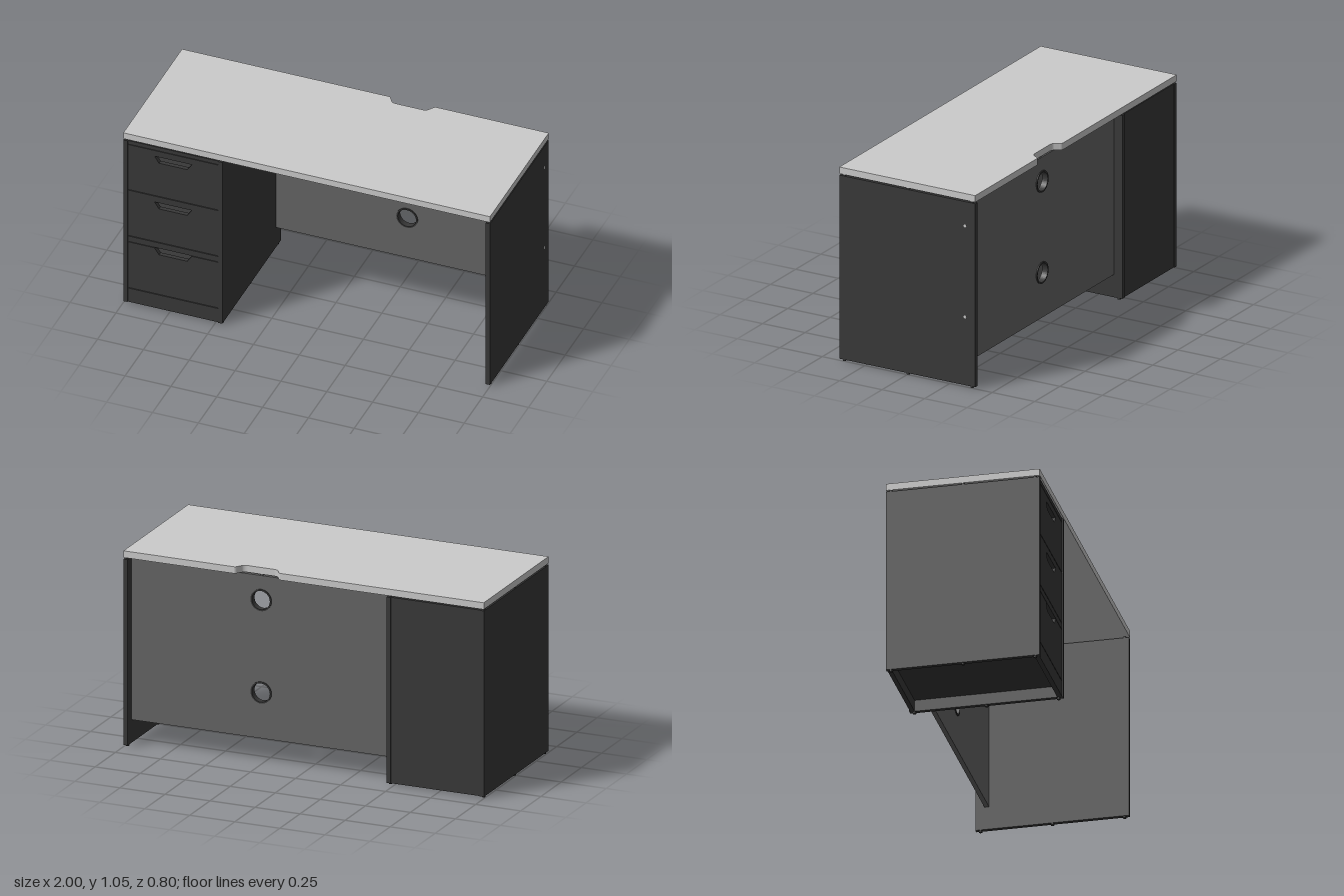
import * as THREE from 'three';

export function createModel() {
  const desk = new THREE.Group();
  const light = new THREE.MeshStandardMaterial({ color: 0xcccccc });
  const mid = new THREE.MeshStandardMaterial({ color: 0x656565 });
  const dark = new THREE.MeshStandardMaterial({ color: 0x383838 });

  const add = (name, geometry, material, parent = desk) => {
    const mesh = new THREE.Mesh(geometry, material);
    mesh.name = name;
    parent.add(mesh);
    return mesh;
  };
  // Box given by its lower and upper limits on each axis
  const box = (name, [x0, x1], [y0, y1], [z0, z1], material = dark, parent = desk) => {
    const mesh = add(name, new THREE.BoxGeometry(x1 - x0, y1 - y0, z1 - z0), material, parent);
    mesh.position.set((x0 + x1) / 2, (y0 + y1) / 2, (z0 + z1) / 2);
    return mesh;
  };
  const peg = (name, r, y0, y1, x, z) =>
    add(name, new THREE.CylinderGeometry(r, r, y1 - y0, 16), dark).position.set(x, (y0 + y1) / 2, z);
  const extrude = (shape, depth) =>
    new THREE.ExtrudeGeometry(shape, { depth, bevelEnabled: false, curveSegments: 20 });

  // Worktop with a soft-cornered cable notch in the back edge (shape y = -z)
  const top = new THREE.Shape();
  top.moveTo(-1, -0.4);
  top.lineTo(1, -0.4);
  top.lineTo(1, 0.4);
  top.lineTo(0.385, 0.4);
  top.quadraticCurveTo(0.377, 0.398, 0.372, 0.388);
  top.lineTo(0.358, 0.367);
  top.quadraticCurveTo(0.35, 0.354, 0.328, 0.354);
  top.lineTo(0.187, 0.354);
  top.quadraticCurveTo(0.165, 0.354, 0.157, 0.367);
  top.lineTo(0.143, 0.388);
  top.quadraticCurveTo(0.138, 0.398, 0.13, 0.4);
  top.lineTo(-1, 0.4);
  const worktop = add('worktop', extrude(top, 0.036), light);
  worktop.rotation.x = -Math.PI / 2;
  worktop.position.y = 1.011;

  // Three upright panels with feet below and spacers above
  const Y = [0.009, 1.003];
  const uprights = { leftPanel: [0.977, 1], innerPanel: [-0.483, -0.46], rightPanel: [-1, -0.977] };
  for (const [name, x] of Object.entries(uprights)) {
    box(name, x, Y, [-0.4, 0.4]);
    for (const z of [-0.375, 0, 0.375]) {
      peg('foot', 0.009, 0, 0.009, (x[0] + x[1]) / 2, z);
      peg('topSpacer', 0.009, 1.003, 1.011, (x[0] + x[1]) / 2, z);
    }
  }

  // Modesty panel with two cable holes
  const holeX = 0.257, holeYs = [0.378, 0.872];
  const panel = new THREE.Shape();
  panel.moveTo(-0.46, 0.133);
  panel.lineTo(0.977, 0.133);
  panel.lineTo(0.977, 1.003);
  panel.lineTo(-0.46, 1.003);
  for (const y of holeYs) panel.holes.push(new THREE.Path().absarc(holeX, y, 0.054, 0, Math.PI * 2, true));
  add('modestyPanel', extrude(panel, 0.024), mid).position.z = -0.352;
  for (const x of [-0.435, holeX, 0.95]) peg('topSpacer', 0.009, 1.003, 1.011, x, -0.34);

  // Cable grommets lining the holes, and the screws holding the panel
  const ring = new THREE.Shape().absarc(0, 0, 0.058, 0, Math.PI * 2, false);
  ring.holes.push(new THREE.Path().absarc(0, 0, 0.05, 0, Math.PI * 2, true));
  for (const y of holeYs) {
    add('grommet', extrude(ring, 0.034), dark).position.set(holeX, y, -0.357);
    const screw = add('screwHead', new THREE.CylinderGeometry(0.008, 0.008, 0.004, 16), light);
    screw.rotation.z = Math.PI / 2;
    screw.position.set(0.999, y, -0.34);
  }

  // Drawer cabinet carcass, open underneath
  const cabinet = new THREE.Group();
  cabinet.name = 'drawerCabinet';
  desk.add(cabinet);
  const X = [-0.977, -0.483];
  const front = 0.395;
  box('cabinetTop', X, [0.981, 1.003], [-0.395, front], dark, cabinet);
  box('cabinetBack', X, [0.009, 0.981], [-0.395, -0.372], dark, cabinet);
  box('cabinetBottom', X, [0.07, 0.093], [-0.372, 0.37], dark, cabinet);
  box('plinth', X, [0.009, 0.093], [0.37, front], dark, cabinet);

  // Drawers: front with a tapered finger grip, strip above it, tray behind
  const cx = -0.73, x0 = X[0] + 0.002, x1 = X[1] - 0.002;
  const drawers = [[0.701, 0.943, 0.978], [0.418, 0.661, 0.697], [0.097, 0.378, 0.414]];
  drawers.forEach(([y0, y1, y2], i) => {
    const drawer = new THREE.Group();
    drawer.name = 'drawer' + (i + 1);
    cabinet.add(drawer);
    const face = new THREE.Shape();
    face.moveTo(x0, y0);
    face.lineTo(x1, y0);
    face.lineTo(x1, y1);
    face.lineTo(cx + 0.102, y1);
    face.lineTo(cx + 0.077, y1 - 0.037);
    face.lineTo(cx - 0.077, y1 - 0.037);
    face.lineTo(cx - 0.102, y1);
    face.lineTo(x0, y1);
    add('drawerFront', extrude(face, 0.023), dark, drawer).position.z = front - 0.023;
    const seam = i === 2 ? 0.003 : 0;
    box('drawerTopStrip', [x0, x1], [y1 + seam, y2], [front - 0.023, front], dark, drawer);
    const trayTop = y1 - 0.06;
    box('trayBottom', [-0.96, -0.5], [y0 + 0.02, y0 + 0.032], [-0.34, 0.372], dark, drawer);
    box('trayBack', [-0.96, -0.5], [y0 + 0.032, trayTop], [-0.34, -0.325], dark, drawer);
    for (const x of [-0.96, -0.515])
      box('traySide', [x, x + 0.015], [y0 + 0.032, trayTop], [-0.325, 0.372], dark, drawer);
  });

  return desk;
}
